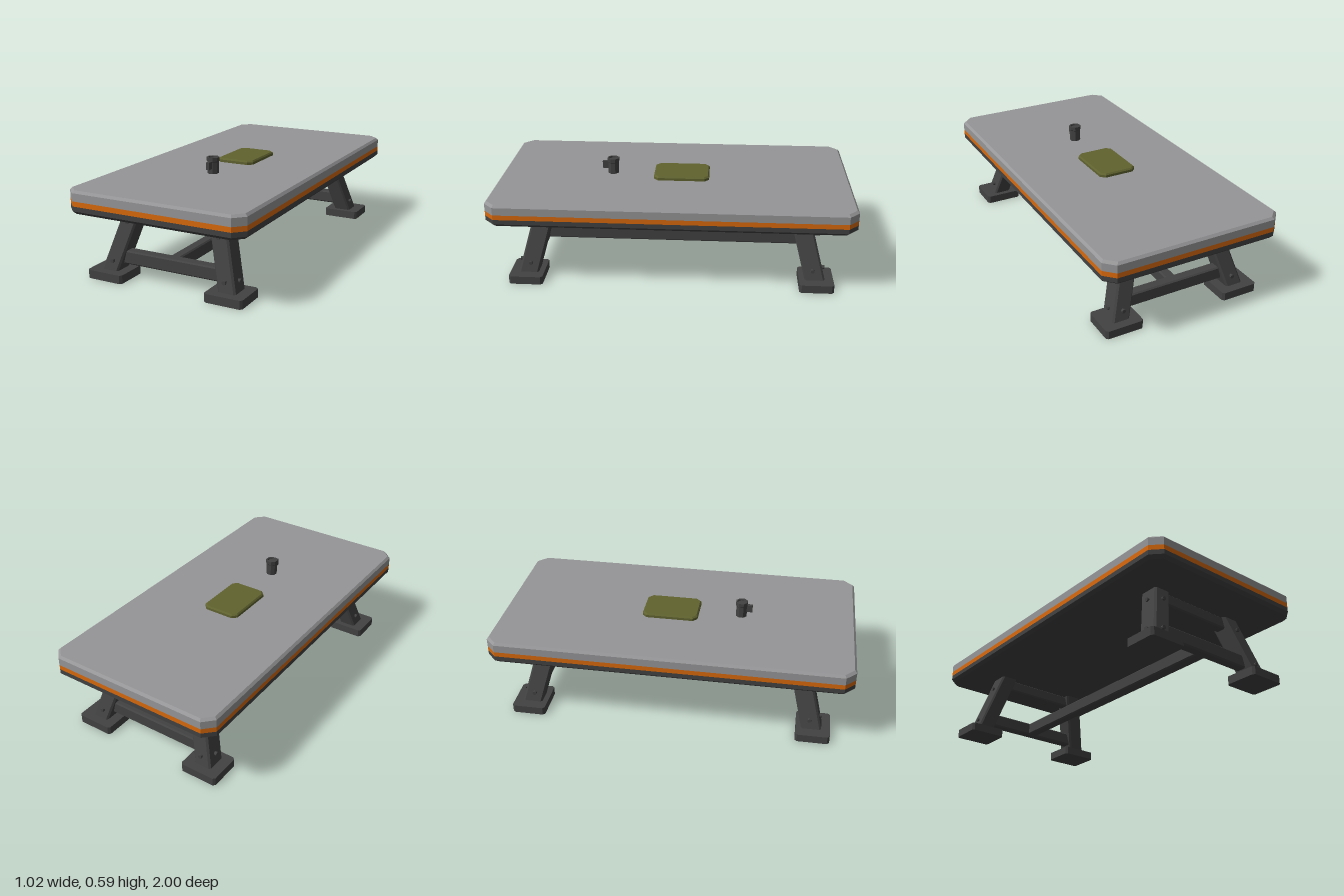
import * as THREE from 'three';

const mat = (name, color) => {
  const m = new THREE.MeshStandardMaterial({ color });
  m.name = name;
  return m;
};

// Skin chamfered rectangles [y, halfX, halfZ, chamfer, centreX, centreZ], listed upwards
function loft(sections, capBottom = true, capTop = true) {
  const rings = sections.map(([y, hx, hz, c, cx = 0, cz = 0]) =>
    [[hx, hz - c], [hx, c - hz], [hx - c, -hz], [c - hx, -hz],
      [-hx, c - hz], [-hx, hz - c], [c - hx, hz], [hx - c, hz]]
      .map(([x, z]) => [x + cx, y, z + cz]));
  const pos = [];
  const tri = (...pts) => pts.forEach((p) => pos.push(...p));
  for (let r = 0; r < rings.length - 1; r++) {
    for (let i = 0; i < 8; i++) {
      const j = (i + 1) % 8, lo = rings[r], hi = rings[r + 1];
      tri(lo[i], lo[j], hi[j]);
      tri(lo[i], hi[j], hi[i]);
    }
  }
  const first = rings[0], last = rings[rings.length - 1];
  for (let i = 1; i < 7; i++) {
    if (capBottom) tri(first[0], first[i + 1], first[i]);
    if (capTop) tri(last[0], last[i], last[i + 1]);
  }
  const g = new THREE.BufferGeometry();
  g.setAttribute('position', new THREE.Float32BufferAttribute(pos, 3));
  g.computeVertexNormals();
  return g;
}

export function createModel() {
  const root = new THREE.Group();
  root.name = 'table';
  const grey = mat('grey top', 0x969698);
  const orange = mat('orange stripe', 0xd9690c);
  const dark = mat('dark metal', 0x424242);
  const olive = mat('olive pad', 0x60632f);

  const add = (name, geometry, material, parent = root) => {
    const m = new THREE.Mesh(geometry, material);
    m.name = name;
    parent.add(m);
    return m;
  };

  // Table top in three coloured bands
  add('topUnderside', loft([[0.378, 0.494, 0.984, 0.05], [0.394, 0.51, 1, 0.055],
    [0.42, 0.51, 1, 0.055]], true, false), dark);
  add('topStripe', loft([[0.42, 0.51, 1, 0.055], [0.447, 0.51, 1, 0.055]], false, false), orange);
  add('topSlab', loft([[0.447, 0.51, 1, 0.055], [0.49, 0.51, 1, 0.055],
    [0.503, 0.498, 0.988, 0.05]], false, true), grey);

  // Pad lying on the top
  const pad = add('pad', loft([[0.502, 0.11, 0.158, 0.025], [0.517, 0.11, 0.158, 0.025],
    [0.525, 0.103, 0.151, 0.023]]), olive);
  pad.position.z = -0.043;

  // Octagonal cup with a small spout
  const cup = new THREE.Group();
  cup.name = 'cup';
  cup.position.set(0, 0.502, 0.356);
  root.add(cup);
  const profile = [[0, 0], [0.032, 0], [0.032, 0.066], [0.035, 0.07], [0.035, 0.091],
    [0.026, 0.091], [0.024, 0.082], [0, 0.082]].map(([x, y]) => new THREE.Vector2(x, y));
  const body = new THREE.LatheGeometry(profile, 8, Math.PI / 8).toNonIndexed();
  body.computeVertexNormals();
  add('cupBody', body, dark, cup);
  add('cupSpout', new THREE.BoxGeometry(0.018, 0.042, 0.042), dark, cup).position.set(0, 0.05, 0.041);

  // Splayed legs with feet and bolts
  const boltGeo = new THREE.CylinderGeometry(0.011, 0.011, 0.024, 8).toNonIndexed();
  boltGeo.computeVertexNormals();
  for (const sz of [1, -1]) {
    for (const sx of [1, -1]) {
      const leg = new THREE.Group();
      leg.name = (sz > 0 ? 'front' : 'back') + (sx > 0 ? 'Left' : 'Right') + 'Leg';
      root.add(leg);
      add('foot', loft([[0, 0.107, 0.095, 0.012, 0.352 * sx, 0.81 * sz],
        [0.046, 0.107, 0.095, 0.012, 0.352 * sx, 0.81 * sz]]), dark, leg);
      add('post', loft([[0.04, 0.05, 0.056, 0.01, 0.351 * sx, 0.803 * sz],
        [0.385, 0.05, 0.056, 0.01, 0.249 * sx, 0.71 * sz]]), dark, leg);
      for (const y of [0.098, 0.306]) {
        const t = (y - 0.04) / 0.345;
        const x = 0.351 - 0.102 * t, z = 0.803 - 0.093 * t;
        const endBolt = add('endBolt', boltGeo, dark, leg);
        endBolt.rotation.x = Math.PI / 2;
        endBolt.position.set(x * sx, y, (z + 0.057) * sz);
        const sideBolt = add('sideBolt', boltGeo, dark, leg);
        sideBolt.rotation.z = Math.PI / 2;
        sideBolt.position.set((x + 0.05) * sx, y, z * sz);
      }
    }
    // Cross rails between each pair of legs
    const rail = (name, y, z, halfLength, halfHeight) => {
      const r = add(name, loft([[-halfLength, halfHeight, 0.03, 0.007],
        [halfLength, halfHeight, 0.03, 0.007]]), dark);
      r.rotation.z = Math.PI / 2;
      r.position.set(0, y, z * sz);
    };
    rail('lowerRail', 0.115, 0.782, 0.32, 0.037);
    rail('upperRail', 0.348, 0.72, 0.245, 0.033);
  }

  // Long stretcher joining the two lower rails
  const stretcher = add('stretcher', loft([[-0.77, 0.03, 0.036, 0.007], [0.77, 0.03, 0.036, 0.007]]), dark);
  stretcher.rotation.x = Math.PI / 2;
  stretcher.position.y = 0.115;

  return root;
}
